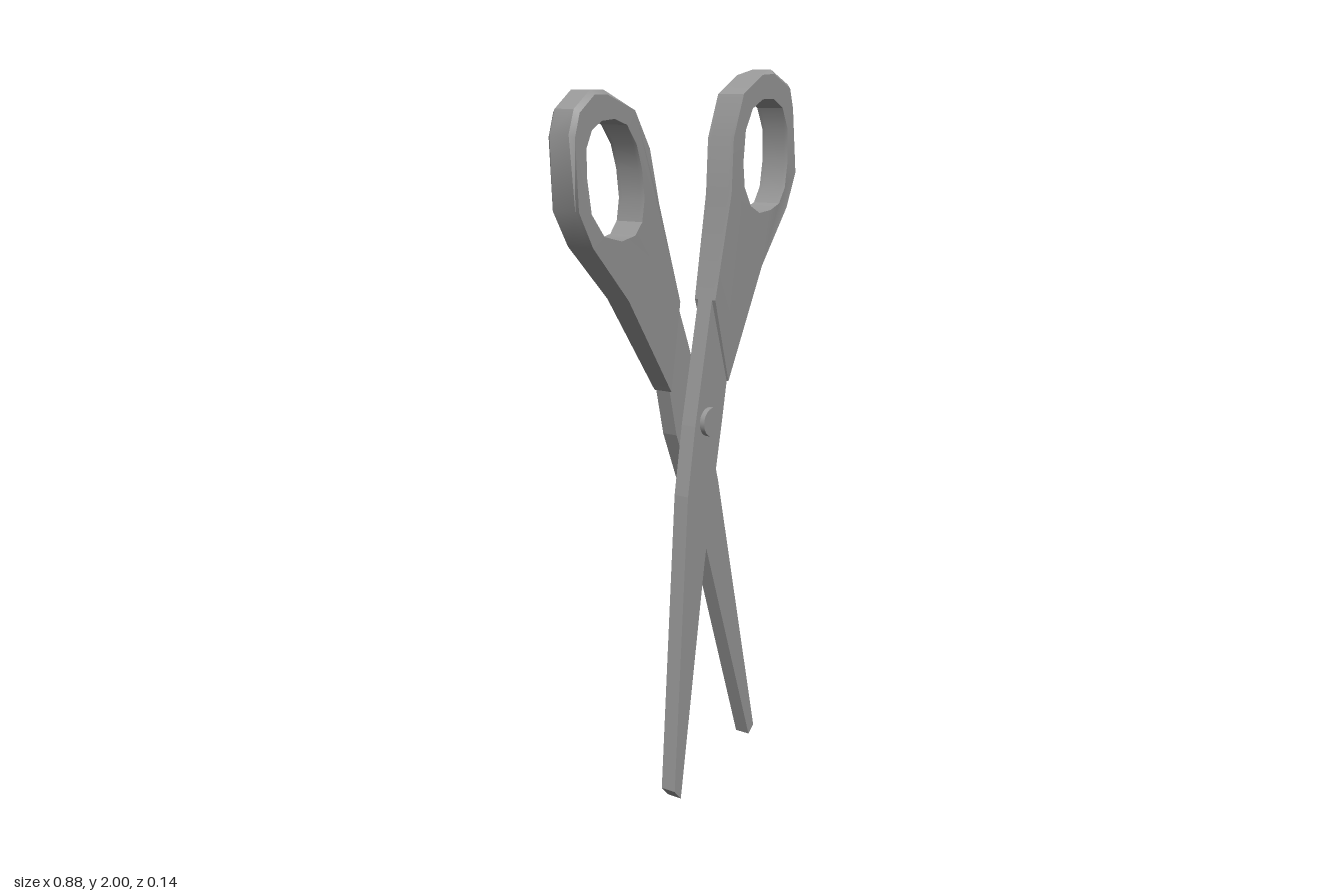
import * as THREE from 'three';
import { toCreasedNormals } from 'three/addons/utils/BufferGeometryUtils.js';

const vectors = (points) => points.map(([x, y]) => new THREE.Vector2(x, y));

// Flat blade, zMid is the centre of its thickness
function makeBlade(points, zMid) {
  const depth = 0.046;
  const geometry = new THREE.ExtrudeGeometry(new THREE.Shape(vectors(points)), { depth, bevelEnabled: false });
  return geometry.translate(0, 0, zMid - depth / 2);
}

// Finger grip: thin at the neck, full at the loop, with the loop's upper outer edge bevelled
function makeHandle(outline, hole, zMid, side) {
  const shape = new THREE.Shape(vectors(outline));
  shape.holes.push(new THREE.Path(vectors(hole)));
  const geometry = new THREE.ExtrudeGeometry(shape, { depth: 3, steps: 3, bevelEnabled: false });
  const centre = new THREE.Box2().setFromPoints(vectors(hole)).getCenter(new THREE.Vector2());
  const onOutline = (x, y) => outline.some(([a, b]) => Math.hypot(a - x, b - y) < 1e-4);
  const pos = geometry.attributes.position;
  for (let i = 0; i < pos.count; i++) {
    let x = pos.getX(i), y = pos.getY(i);
    const layer = Math.round(pos.getZ(i));
    const half = 0.029 + 0.0135 * THREE.MathUtils.smoothstep(y, 1.2, 1.65);
    const z = half * [-1, -0.72, 0.72, 1][layer];
    const outward = (x - centre.x) * side;
    if ((layer === 0 || layer === 3) && onOutline(x, y) && y > centre.y && outward > 0) {
      const d = Math.hypot(x - centre.x, y - centre.y);
      x -= (x - centre.x) / d * 0.012;
      y -= (y - centre.y) / d * 0.012;
    }
    pos.setXYZ(i, x, y, zMid + z);
  }
  return toCreasedNormals(geometry, 0.5);
}

export function createModel() {
  const group = new THREE.Group();
  const steel = new THREE.MeshStandardMaterial({ color: 0x999999 });
  steel.name = 'grey';
  const add = (geometry, name) => {
    const mesh = new THREE.Mesh(geometry, steel);
    mesh.name = name;
    group.add(mesh);
    return mesh;
  };
  const zFront = 0.0285, zBack = -0.03;

  // Front half, its grip on the left (+x)
  add(makeBlade([
    [0.07, 1.395], [-0.003, 1.06], [-0.035, 0.87], [-0.095, 0.03], [-0.067, 0],
    [0.04, 0.66], [0.078, 0.855], [0.12, 1.06], [0.14, 1.165],
  ], zFront), 'frontBlade');
  add(makeHandle([
    [0.07, 1.395], [0.14, 1.165], [0.283, 1.47], [0.395, 1.625], [0.437, 1.72], [0.428, 1.905],
    [0.41, 1.96], [0.325, 2], [0.27, 1.985], [0.183, 1.935], [0.138, 1.82], [0.13, 1.675],
  ], [
    [0.183, 1.755], [0.193, 1.84], [0.225, 1.897], [0.272, 1.921], [0.325, 1.921], [0.368, 1.897], [0.394, 1.84],
    [0.397, 1.755], [0.384, 1.68], [0.357, 1.638], [0.315, 1.622], [0.262, 1.617], [0.22, 1.638], [0.19, 1.69],
  ], zFront, 1), 'frontHandle');

  // Back half, its grip on the right (-x)
  add(makeBlade([
    [-0.008, 1.395], [0.04, 1.28], [0.125, 1.06], [0.183, 0.865], [0.372, 0.06], [0.347, 0.038],
    [0.077, 0.825], [-0.01, 1.03], [-0.04, 1.155],
  ], zBack), 'backBlade');
  add(makeHandle([
    [-0.008, 1.395], [-0.108, 1.66], [-0.145, 1.8], [-0.203, 1.895], [-0.31, 1.945], [-0.36, 1.945],
    [-0.42, 1.9], [-0.44, 1.84], [-0.42, 1.655], [-0.368, 1.565], [-0.225, 1.42], [-0.04, 1.155],
  ], [
    [-0.389, 1.738], [-0.389, 1.807], [-0.368, 1.85], [-0.331, 1.871], [-0.283, 1.875], [-0.235, 1.86], [-0.198, 1.812],
    [-0.177, 1.75], [-0.167, 1.675], [-0.177, 1.617], [-0.204, 1.585], [-0.257, 1.574], [-0.325, 1.59], [-0.373, 1.648],
  ], zBack, -1), 'backHandle');

  // Pivot pin through both blades
  const pin = add(new THREE.CylinderGeometry(0.04, 0.04, 0.135, 32), 'pivotPin');
  pin.rotation.x = Math.PI / 2;
  pin.position.set(0.057, 1.065, -0.001);

  return group;
}
